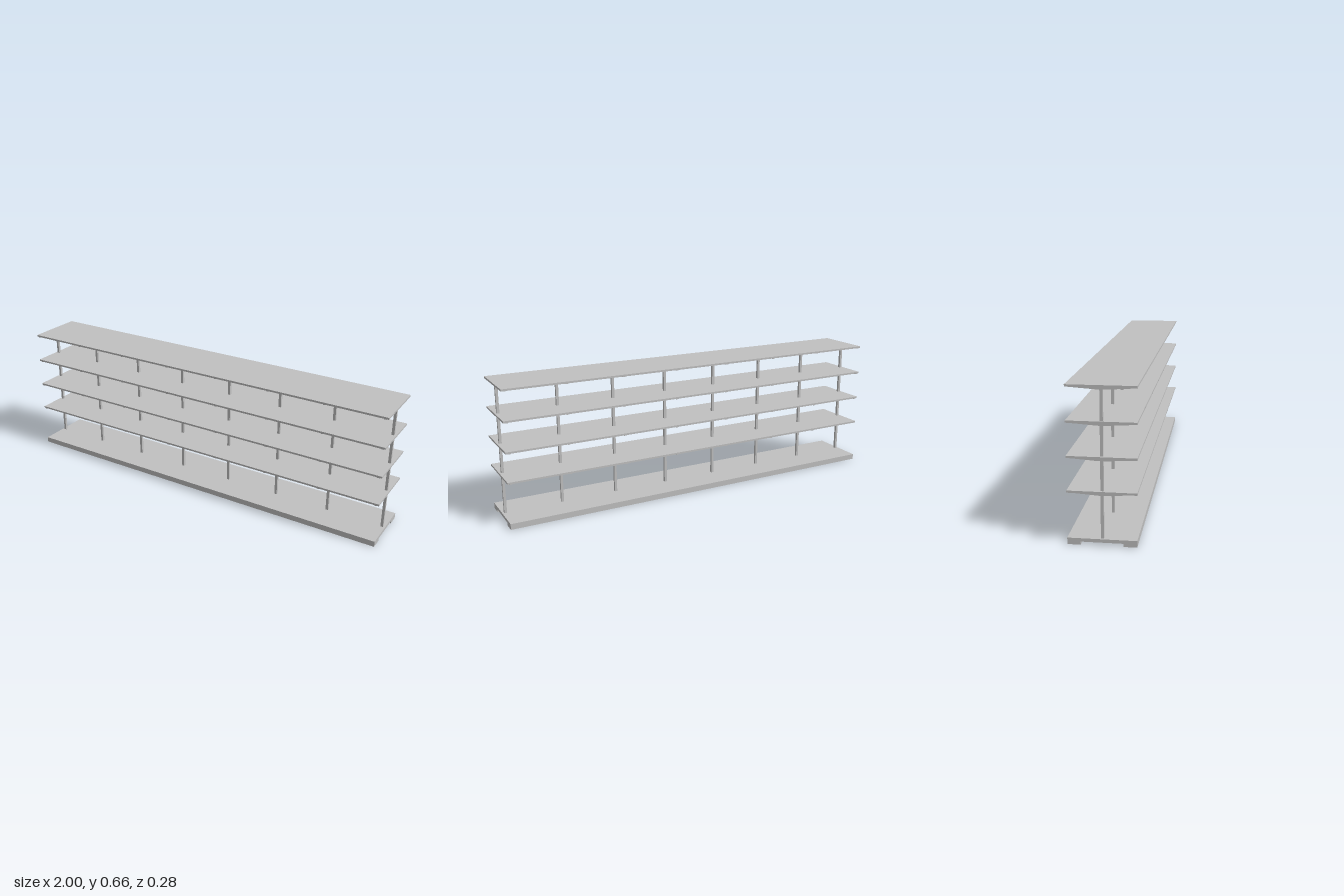
import * as THREE from 'three';

export function createModel() {
  const model = new THREE.Group();
  model.name = 'shelvingUnit';
  const grey = new THREE.MeshStandardMaterial({ color: 0xc0c0c0 });
  grey.name = 'light grey';

  const halfDepth = 0.142, baseTop = 0.028, board = 0.009, postSize = 0.0125;
  const shelfTops = [0.228, 0.3713, 0.5147, 0.658];

  const add = (name, geometry, x = 0, y = 0, z = 0) => {
    const mesh = new THREE.Mesh(geometry, grey);
    mesh.name = name;
    mesh.position.set(x, y, z);
    model.add(mesh);
  };

  // Extrudes a [z, y] profile along x, centred on x = 0
  const extrudeAlongX = (profile, length) => {
    const shape = new THREE.Shape(profile.map(([z, y]) => new THREE.Vector2(-z, y)));
    const geometry = new THREE.ExtrudeGeometry(shape, { depth: length, bevelEnabled: false });
    return geometry.translate(0, 0, -length / 2).rotateY(Math.PI / 2);
  };

  // Plinth with a shallow channel along its underside
  add('base', extrudeAlongX([
    [halfDepth, 0], [0.087, 0], [0.087, 0.0135], [-0.087, 0.0135],
    [-0.087, 0], [-halfDepth, 0], [-halfDepth, baseTop], [halfDepth, baseTop],
  ], 2), 0, 0, 0);

  // Full-length shelf boards
  const shelfGeometry = new THREE.BoxGeometry(2, board, halfDepth * 2);
  for (const top of shelfTops) add('shelf', shelfGeometry, 0, top - board / 2);

  // Posts, each with a tapered double arm under every shelf
  const postTop = shelfTops[3] - board;
  const postGeometry = new THREE.BoxGeometry(postSize, postTop - baseTop, postSize);
  const armGeometry = extrudeAlongX([
    [halfDepth, 0], [halfDepth, -0.002], [0.012, -0.0105],
    [-0.012, -0.0105], [-halfDepth, -0.002], [-halfDepth, 0],
  ], postSize);
  for (let i = 0; i < 8; i++) {
    const x = -0.984 + i * 1.968 / 7;
    add('post', postGeometry, x, (postTop + baseTop) / 2);
    for (const top of shelfTops) add('shelfArm', armGeometry, x, top - board);
  }
  return model;
}
